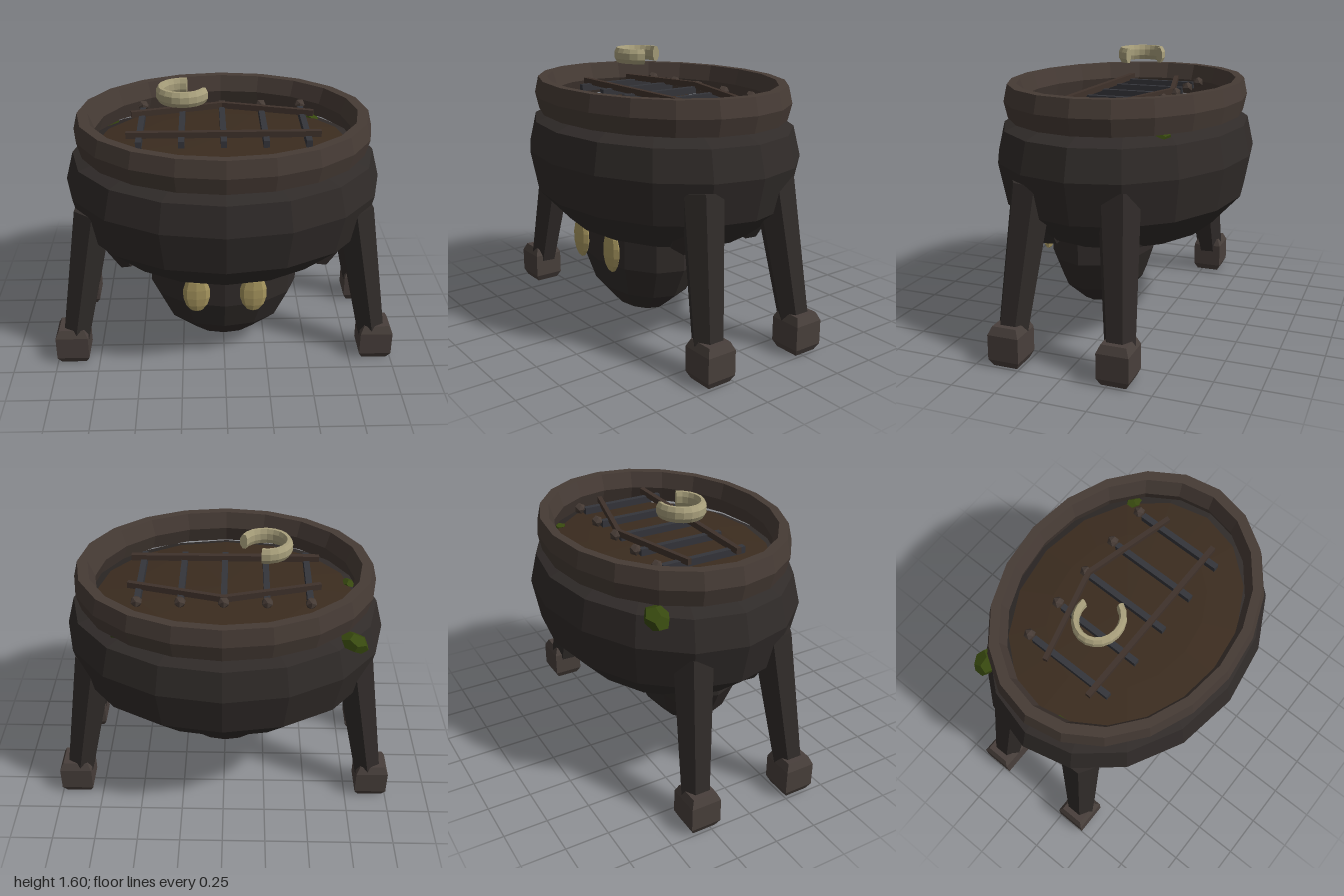
import * as THREE from 'three';

const mat = (color, side = THREE.FrontSide) =>
  new THREE.MeshStandardMaterial({ color, flatShading: true, roughness: 0.9, side });
const iron = mat(0x302b29), rim = mat(0x463b35), footMat = mat(0x483f3b), lidMat = mat(0x3b2c1f);
const barMat = mat(0x34353a), railMat = mat(0x3f322b), bone = mat(0xa8975f);
const pale = mat(0xa9a07c, THREE.DoubleSide), mossMat = mat(0x37480f);

const V = (x, y, z) => new THREE.Vector3(x, y, z);
const pts = (list) => list.map(([x, y]) => new THREE.Vector2(x, y));

export function createModel() {
  const model = new THREE.Group();

  const add = (name, geometry, material, position = [0, 0, 0], parent = model) => {
    const mesh = new THREE.Mesh(geometry, material);
    mesh.name = name;
    mesh.position.set(...position);
    parent.add(mesh);
    return mesh;
  };
  // Elliptical turned shape
  const oval = (name, profile, ratio, sides, material) =>
    add(name, new THREE.LatheGeometry(pts(profile), sides).scale(1, 1, ratio), material);
  // Tapered prism between two points
  const limb = (name, a, b, ra, rb, sides, material, parent) => {
    const dir = b.clone().sub(a);
    const mesh = add(name, new THREE.CylinderGeometry(rb, ra, dir.length(), sides), material,
      a.clone().add(b).multiplyScalar(0.5).toArray(), parent);
    mesh.quaternion.setFromUnitVectors(V(0, 1, 0), dir.normalize());
    return mesh;
  };

  // Cauldron body, lid and floating rim
  oval('body', [[0, 0.61], [0.65, 0.61], [0.86, 0.79], [0.915, 1.03], [0.868, 1.2], [0.735, 1.245]], 0.798, 16, iron);
  oval('lid', [[0.735, 1.245], [0.5, 1.27], [0, 1.29]], 0.798, 16, lidMat);
  oval('rim', [[0.765, 1.25], [0.825, 1.25], [0.85, 1.345], [0.825, 1.44], [0.765, 1.44], [0.73, 1.345], [0.765, 1.25]],
    0.8, 20, rim);

  // Head hanging below, with two eyes
  add('head', new THREE.SphereGeometry(1, 12, 7).scale(0.445, 0.45, 0.305), iron, [0, 0.51, 0.145]);
  for (const s of [-1, 1]) {
    add('eye', new THREE.SphereGeometry(1, 8, 7).scale(0.078, 0.125, 0.028), bone, [s * 0.162, 0.515, 0.455]);
  }

  // Chamfered foot block: full width in the middle, narrower at the ends
  const footGeometry = () => {
    const h = Math.SQRT2;
    return new THREE.LatheGeometry(pts([[0, 0], [0.074 * h, 0], [0.095 * h, 0.04], [0.095 * h, 0.18],
      [0.074 * h, 0.225], [0, 0.225]]), 4).rotateY(Math.PI / 4).scale(1, 1, 0.94);
  };

  // Four bent legs
  for (const s of [-1, 1]) {
    for (const [side, kneeZ, footZ] of [['front', 0.265, 0.335], ['back', -0.225, -0.285]]) {
      const leg = new THREE.Group();
      leg.name = side + 'Leg';
      model.add(leg);
      const knee = V(s * 0.735, 0.96, kneeZ);
      limb('upperLeg', V(s * 0.54, 0.62, kneeZ * 0.9), knee, 0.08, 0.1, 6, iron, leg);
      limb('lowerLeg', V(s * 0.885, 0.14, footZ), knee, 0.085, 0.12, 6, iron, leg);
      add('foot', footGeometry(), footMat, [s * 0.905, 0, footZ], leg);
    }
  }

  // Grate: five bars with knobs, a straight rail and a peaked rail
  const grate = new THREE.Group();
  grate.name = 'grate';
  model.add(grate);
  for (let i = -2; i <= 2; i++) {
    const x = i * 0.234;
    add('bar', new THREE.BoxGeometry(0.034, 0.04, 0.51), barMat, [x, 1.345, -0.005], grate);
    add('knob', new THREE.IcosahedronGeometry(0.034, 0), rim, [x, 1.365, -0.29], grate);
  }
  add('frontRail', new THREE.BoxGeometry(1.08, 0.035, 0.03), railMat, [0, 1.375, 0.17], grate);
  for (const s of [-1, 1]) {
    const rail = add('peakedRail', new THREE.BoxGeometry(0.55, 0.035, 0.026), railMat, [s * 0.264, 1.375, -0.2], grate);
    rail.rotation.y = -s * Math.atan2(0.14, 0.53);
  }

  // Open crescent floating above the lid
  const crescent = new THREE.Group();
  crescent.name = 'crescent';
  crescent.position.set(-0.225, 1.553, -0.005);
  model.add(crescent);
  const section = pts([[0.118, -0.043], [0.136, -0.043], [0.15, -0.018], [0.15, 0.018], [0.136, 0.043],
    [0.118, 0.043], [0.108, 0.018], [0.108, -0.018], [0.118, -0.043]]);
  const rad = THREE.MathUtils.degToRad;
  const start = rad(-190), sweep = rad(260);
  add('crescentBand', new THREE.LatheGeometry(section, 14, start, sweep).scale(1, 1, 0.92), pale, [0, 0, 0], crescent);
  for (const phi of [start, start + sweep]) {
    const cap = new THREE.ShapeGeometry(new THREE.Shape(section.slice(0, -1)))
      .rotateY(phi - Math.PI / 2).scale(1, 1, 0.92);
    add('crescentEnd', cap, pale, [0, 0, 0], crescent);
  }

  // Moss clumps on the shoulder
  for (const [x, y, z, sx, sy, sz] of [
    [-0.7, 1.205, -0.42, 0.085, 0.05, 0.07],
    [-0.72, 1.225, 0.12, 0.05, 0.035, 0.06],
    [0.56, 1.23, -0.395, 0.055, 0.03, 0.05],
  ]) {
    const clump = add('moss', new THREE.DodecahedronGeometry(1, 0).scale(sx, sy, sz), mossMat, [x, y, z]);
    clump.rotation.z = x < 0 ? 0.4 : -0.4;
  }

  return model;
}
